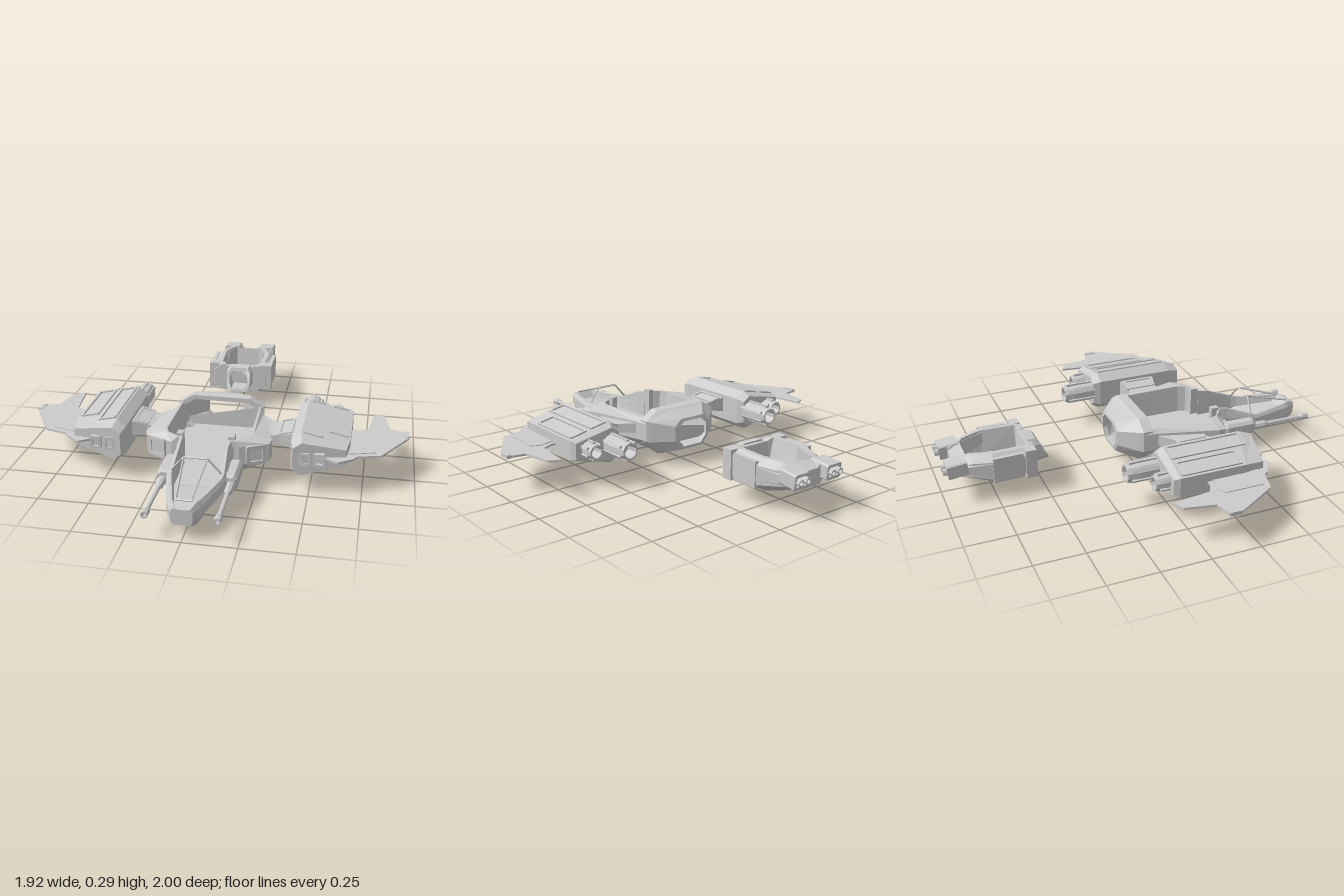
import * as THREE from 'three';

const mat = new THREE.MeshStandardMaterial({ color: 0xcccccc, flatShading: true, side: THREE.DoubleSide });

function mesh(name, geo, parent, x = 0, y = 0, z = 0) {
  const m = new THREE.Mesh(geo, mat);
  m.name = name;
  m.position.set(x, y, z);
  parent.add(m);
  return m;
}

// Skin between equal-length closed rings of [x, y, z]; ends are filled in the plane given by axes u, v
function loft(rings, u = 0, v = 1, capped = true) {
  const n = rings[0].length, pos = rings.flat(2), idx = [];
  for (let r = 0; r < rings.length - 1; r++)
    for (let i = 0; i < n; i++) {
      const a = r * n + i, b = r * n + (i + 1) % n;
      idx.push(a, b, a + n, b, b + n, a + n);
    }
  if (capped)
    [0, rings.length - 1].forEach((r) => {
      const flat = rings[r].map((p) => new THREE.Vector2(p[u], p[v]));
      for (const [a, b, c] of THREE.ShapeUtils.triangulateShape(flat, []))
        idx.push(r * n + a, r * n + (r ? b : c), r * n + (r ? c : b));
    });
  const g = new THREE.BufferGeometry();
  g.setAttribute('position', new THREE.Float32BufferAttribute(pos, 3));
  g.setIndex(idx);
  const out = g.toNonIndexed();
  out.computeVertexNormals();
  return out;
}

// Open-topped tub: one station = [z, rimX, rimY, sideX, sideTop, sideBottom, bottomX, bottomY, innerX, floorX, floorY]
function tub(stations) {
  return loft(stations.map(([z, rx, ry, w, hi, lo, bx, by, ix, fx, fy]) => {
    const right = [[rx, ry], [w, hi], [w, lo], [bx, by]];
    const inner = [[fx, fy], [ix, ry]];
    const flip = (list) => list.map(([x, y]) => [-x, y]).reverse();
    return [...right, ...flip(right), ...flip(inner), ...inner].map(([x, y]) => [x, y, z]);
  }));
}

// Picture-frame rectangle with cut corners, facing +z
function frame(w, h, border, depth) {
  const outline = (a, b, c) => [[-a, -b + c], [-a, b - c], [-a + c, b], [a - c, b], [a, b - c], [a, -b + c], [a - c, -b], [-a + c, -b]]
    .map(([x, y]) => new THREE.Vector2(x, y));
  const s = new THREE.Shape(outline(w / 2, h / 2, border * 0.5));
  s.holes.push(new THREE.Path(outline(w / 2 - border, h / 2 - border, border * 0.3)));
  return new THREE.ExtrudeGeometry(s, { depth, bevelEnabled: false });
}

// Straight bar between two points
function bar(name, a, b, r, parent) {
  const A = new THREE.Vector3(...a), B = new THREE.Vector3(...b), d = B.clone().sub(A);
  const m = mesh(name, new THREE.CylinderGeometry(r, r, d.length(), 4), parent);
  m.position.copy(A).add(B).multiplyScalar(0.5);
  m.quaternion.setFromUnitVectors(new THREE.Vector3(0, 1, 0), d.normalize());
  return m;
}

// Turned part along z, profile of [radius, z]
function turned(profile, sides) {
  return new THREE.LatheGeometry(profile.map(([r, z]) => new THREE.Vector2(r, z)), sides).rotateX(Math.PI / 2);
}

const octagon = (w, w2, top, hi, lo, bot, z) =>
  [[w2, top], [w, hi], [w, lo], [w2, bot], [-w2, bot], [-w, lo], [-w, hi], [-w2, top]].map(([x, y]) => [x, y, z]);

function buildHull(root) {
  const hull = new THREE.Group();
  hull.name = 'hull';
  root.add(hull);
  mesh('cabin', tub([
    [0.0, 0.205, 0.245, 0.22, 0.225, 0.135, 0.11, 0.06, 0.19, 0.18, 0.1],
    [0.08, 0.21, 0.245, 0.23, 0.225, 0.13, 0.11, 0.05, 0.2, 0.19, 0.1],
    [0.38, 0.22, 0.245, 0.31, 0.225, 0.13, 0.11, 0.04, 0.205, 0.19, 0.1],
    [0.42, 0.2, 0.245, 0.3, 0.22, 0.13, 0.11, 0.04, 0.19, 0.18, 0.1],
    [0.47, 0.135, 0.245, 0.165, 0.215, 0.12, 0.1, 0.045, 0.11, 0.105, 0.1],
  ]), hull);
  mesh('nose', tub([
    [0.46, 0.125, 0.245, 0.14, 0.2, 0.12, 0.09, 0.045, 0.11, 0.105, 0.1],
    [0.52, 0.12, 0.235, 0.135, 0.18, 0.11, 0.085, 0.045, 0.108, 0.105, 0.1],
    [0.67, 0.13, 0.175, 0.14, 0.155, 0.1, 0.08, 0.048, 0.112, 0.105, 0.1],
    [0.7, 0.125, 0.165, 0.135, 0.15, 0.1, 0.08, 0.048, 0.11, 0.1, 0.11],
    [0.9, 0.07, 0.165, 0.085, 0.145, 0.1, 0.06, 0.052, 0.058, 0.05, 0.13],
    [0.93, 0.06, 0.17, 0.075, 0.145, 0.1, 0.055, 0.055, 0.05, 0.045, 0.165],
    [0.98, 0.04, 0.155, 0.05, 0.14, 0.1, 0.04, 0.075, 0.03, 0.025, 0.152],
  ]), hull);
  // Tapered rear with an eight-sided doorway
  mesh('rearDoorRing', loft([
    octagon(0.2, 0.135, 0.262, 0.225, 0.13, 0.09, 0.05),
    octagon(0.22, 0.15, 0.285, 0.24, 0.13, 0.06, 0.05),
    octagon(0.22, 0.15, 0.285, 0.24, 0.13, 0.055, 0.0),
    octagon(0.2, 0.135, 0.275, 0.235, 0.13, 0.06, -0.02),
    octagon(0.11, 0.07, 0.25, 0.215, 0.135, 0.085, -0.1),
    octagon(0.09, 0.055, 0.235, 0.205, 0.14, 0.1, -0.105),
    octagon(0.1, 0.06, 0.24, 0.21, 0.14, 0.1, -0.08),
    octagon(0.2, 0.135, 0.262, 0.225, 0.13, 0.09, 0.0),
    octagon(0.2, 0.135, 0.262, 0.225, 0.13, 0.09, 0.05),
  ], 0, 1, false), hull);
  // Keel narrows downward in steps
  mesh('keel', loft([[0.09, 0.17, 0.03, 0.45], [0.05, 0.11, 0.08, 0.44], [0.02, 0.06, 0.1, 0.41], [0, 0.04, 0.11, 0.405]]
    .map(([y, x, a, b]) => [[x, y, a], [x, y, b], [-x, y, b], [-x, y, a]]), 0, 2), hull);
  // Open canopy frame
  bar('canopyTopBar', [-0.055, 0.25, 0.68], [0.055, 0.25, 0.68], 0.006, hull);
  bar('canopyFrontBar', [-0.04, 0.172, 0.93], [0.04, 0.172, 0.93], 0.006, hull);
  for (const s of [-1, 1]) {
    bar('canopySlopeBar', [s * 0.055, 0.25, 0.68], [s * 0.035, 0.172, 0.93], 0.005, hull);
    bar('canopyRearBar', [s * 0.055, 0.25, 0.68], [s * 0.12, 0.17, 0.67], 0.005, hull);
    mesh('bulkheadPost', new THREE.BoxGeometry(0.03, 0.15, 0.04), hull, s * 0.125, 0.185, 0.44);
  }
}

// Everything that repeats left and right, made for +x
function buildSide() {
  const side = new THREE.Group();
  side.name = 'sideParts';
  const intake = mesh('shoulderIntake', frame(0.1, 0.1, 0.018, 0.02), side, 0.237, 0.17, 0.432);
  intake.rotation.y = 0.45;
  mesh('gunPod', loft([[0.485, 0.8], [0.5, 1], [0.65, 1], [0.67, 0.75]].map(([z, k]) =>
    octagon(0.04, 0.026, 0.04, 0.024, -0.024, -0.04, 0).map(([x, y]) => [0.148 + x * k, 0.125 + y * k, z]))), side);
  mesh('gunSleeve', turned([[0, 0.64], [0.02, 0.64], [0.02, 0.73], [0.012, 0.75]], 8), side, 0.16, 0.12, 0);
  mesh('gunBarrel', turned([[0.011, 0.7], [0.011, 0.95], [0.018, 0.96], [0.018, 1.0], [0.01, 1.0], [0.01, 0.97], [0, 0.97]], 8), side, 0.16, 0.12, 0);
  // Waisted pylon from hull to engine pod
  mesh('pylon', loft([[0.21, 0.06, 0.38, 0.16, 0.215], [0.3, 0.14, 0.3, 0.165, 0.21], [0.335, 0.14, 0.3, 0.165, 0.215], [0.43, 0.11, 0.32, 0.15, 0.24]]
    .map(([x, a, b, lo, hi]) => [[x, lo, a], [x, lo, b], [x, hi, b], [x, hi, a]]), 2, 1), side);
  mesh('pylonPanel', frame(0.075, 0.17, 0.012, 0.012).rotateX(-Math.PI / 2).rotateZ(0.25), side, 0.365, 0.217, 0.215);

  const pod = new THREE.Group();
  pod.name = 'enginePod';
  side.add(pod);
  const section = [[0.405, 0.25], [0.45, 0.285], [0.68, 0.235], [0.68, 0.135], [0.45, 0.075], [0.405, 0.11]];
  const podRing = (k, zIn, zOut) => section.map(([x, y]) => {
    const t = (x - 0.405) / 0.275;
    return [0.54 + (x - 0.54) * (k + 1) / 2, 0.18 + (y - 0.18) * k, zIn + (zOut - zIn) * t];
  });
  mesh('podBody', loft([podRing(0.82, -0.04, -0.04), podRing(1, 0, -0.01), podRing(1, 0.42, 0.33), podRing(0.8, 0.48, 0.43)]), pod);
  // Panels lie on the sloping upper and lower faces
  for (const [x, w, len, z] of [[0.505, 0.095, 0.4, 0.2], [0.62, 0.1, 0.32, 0.16]]) {
    const top = mesh('topPanel', frame(w, len, 0.012, 0.008).rotateX(-Math.PI / 2), pod, x, 0.285 - (x - 0.45) * 0.217, z);
    top.rotation.z = -0.214;
  }
  const under = mesh('underPanel', frame(0.15, 0.26, 0.02, 0.01).rotateX(Math.PI / 2), pod, 0.56, 0.103, 0.18);
  under.rotation.z = 0.255;
  // Square-mouthed front cannons
  for (const x of [0.475, 0.545]) {
    mesh('frontCannon', frame(0.055, 0.065, 0.012, 0.05), pod, x, 0.18, 0.425);
    mesh('frontCannonCore', new THREE.BoxGeometry(0.035, 0.045, 0.03), pod, x, 0.18, 0.445);
  }
  // Ribbed hollow thrusters
  const thruster = (x, zEnd, r) => {
    mesh('thruster', turned([[r * 0.85, 0.02], [r, -0.04], [r, zEnd + 0.06], [r * 0.88, zEnd],
      [r * 0.7, zEnd], [r * 0.55, zEnd + 0.06], [0, zEnd + 0.06]], 10), pod, x, 0.185, 0);
    for (let i = 0; i < 6; i++) {
      const a = i * Math.PI / 3 + Math.PI / 6, len = -zEnd - 0.02;
      const rib = mesh('thrusterRib', new THREE.BoxGeometry(0.012, 0.014, len), pod,
        x + Math.cos(a) * r, 0.185 + Math.sin(a) * r, -len / 2);
      rib.rotation.z = a;
    }
  };
  thruster(0.462, -0.2, 0.05);
  thruster(0.595, -0.11, 0.042);

  // Thin swept fin, drawn in x and z
  const fin = (pts, t) => new THREE.ExtrudeGeometry(new THREE.Shape(pts.map(([x, z]) => new THREE.Vector2(x, z))),
    { depth: t, bevelEnabled: false }).rotateX(Math.PI / 2);
  mesh('fin', fin([[0.55, 0.12], [0.7, 0.13], [0.76, 0.1], [0.785, -0.1], [0.84, -0.07], [0.87, 0.08], [0.96, 0.1],
    [0.96, 0.16], [0.83, 0.38], [0.72, 0.41], [0.7, 0.44], [0.63, 0.49], [0.54, 0.43]], 0.01), side, 0, 0.188, 0);
  mesh('finPlate', fin([[0.66, 0.16], [0.76, 0.14], [0.8, 0.16], [0.8, 0.36], [0.7, 0.39], [0.66, 0.4]], 0.018), side, 0, 0.192, 0);
  mesh('finTip', new THREE.BoxGeometry(0.025, 0.018, 0.06), side, 0.947, 0.183, 0.13);
  return side;
}

function buildTailModule(root) {
  const tail = new THREE.Group();
  tail.name = 'tailModule';
  root.add(tail);
  mesh('tailBody', tub([
    [-0.545, 0.11, 0.235, 0.15, 0.2, 0.12, 0.1, 0.08, 0.08, 0.075, 0.225],
    [-0.575, 0.13, 0.24, 0.17, 0.21, 0.115, 0.11, 0.072, 0.1, 0.08, 0.225],
    [-0.585, 0.132, 0.24, 0.17, 0.21, 0.115, 0.11, 0.072, 0.11, 0.085, 0.12],
    [-0.76, 0.14, 0.24, 0.175, 0.21, 0.115, 0.11, 0.072, 0.115, 0.085, 0.12],
    [-0.86, 0.1, 0.235, 0.14, 0.205, 0.13, 0.09, 0.1, 0.08, 0.07, 0.12],
    [-0.875, 0.095, 0.23, 0.13, 0.2, 0.13, 0.085, 0.105, 0.075, 0.065, 0.22],
    [-0.94, 0.055, 0.21, 0.075, 0.19, 0.14, 0.055, 0.12, 0.045, 0.04, 0.2],
  ]), tail);
  // Hollow collar with a slanted mouth
  const collar = (w, top, bot, zTop, zBot) =>
    [[w * 0.75, top, zTop], [w, top - 0.03, zTop + 0.02], [w, bot + 0.025, zBot - 0.015], [w * 0.75, bot, zBot],
      [-w * 0.75, bot, zBot], [-w, bot + 0.025, zBot - 0.015], [-w, top - 0.03, zTop + 0.02], [-w * 0.75, top, zTop]];
  mesh('collar', loft([collar(0.075, 0.235, 0.1, -0.56, -0.56), collar(0.065, 0.23, 0.11, -0.515, -0.45),
    collar(0.05, 0.21, 0.125, -0.51, -0.455), collar(0.05, 0.21, 0.125, -0.555, -0.545)]), tail);
  mesh('bellyPanel', frame(0.16, 0.16, 0.025, 0.012).rotateX(Math.PI / 2), tail, 0, 0.078, -0.67);
  for (const s of [-1, 1]) {
    mesh('cornerLug', new THREE.BoxGeometry(0.055, 0.15, 0.055), tail, s * 0.153, 0.165, -0.575);
    const plate = mesh('sidePlate', new THREE.BoxGeometry(0.02, 0.13, 0.15), tail, s * 0.168, 0.165, -0.69);
    plate.rotation.y = -s * 0.03;
    mesh('rearFlank', loft([[-0.75, 0.1, 0.18, 0.1, 0.235], [-0.88, 0.07, 0.14, 0.12, 0.22], [-0.91, 0.06, 0.13, 0.135, 0.215]]
      .map(([z, a, b, lo, hi]) => [[s * a, lo, z], [s * b, lo + 0.03, z], [s * b, hi - 0.03, z], [s * a, hi, z]])), tail);
    const nozzle = mesh('tailNozzle', frame(0.09, 0.075, 0.014, 0.1), tail, s * 0.103, 0.18, -0.98);
    nozzle.rotation.x = -0.1;
    for (const d of [-0.022, 0.022])
      mesh('tailJet', turned([[0.017, -0.9], [0.017, -1], [0.011, -1], [0.009, -0.97], [0, -0.97]], 8), tail, s * 0.103 + d, 0.182, 0);
  }
}

export function createModel() {
  const root = new THREE.Group();
  root.name = 'gunship';
  buildHull(root);
  const left = buildSide();
  const right = left.clone();
  left.name = 'leftSide';
  right.name = 'rightSide';
  right.scale.x = -1;
  root.add(left, right);
  buildTailModule(root);
  return root;
}
